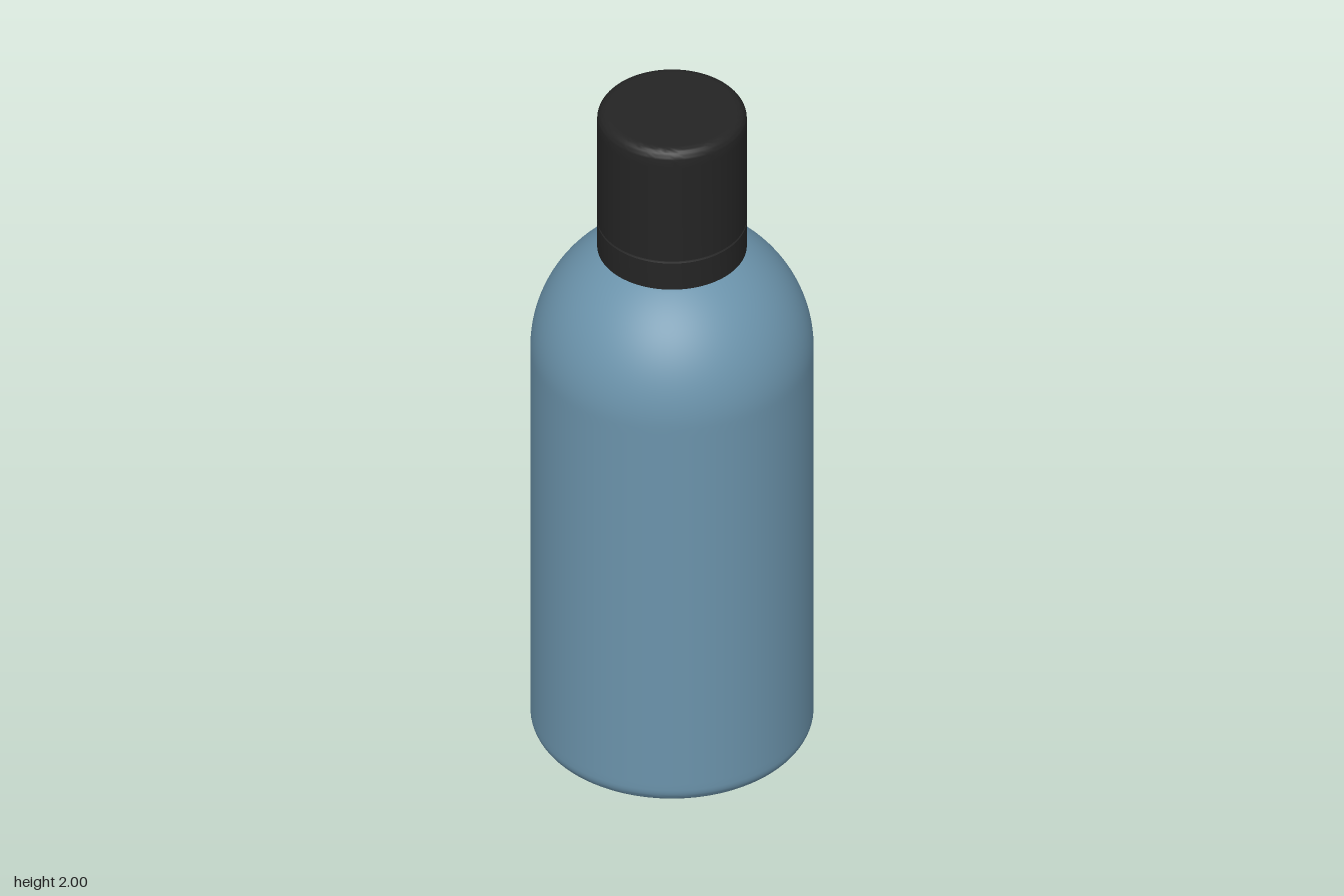
import * as THREE from 'three';
import { toCreasedNormals } from 'three/addons/utils/BufferGeometryUtils.js';

const SEGMENTS = 96;

// Points along a circular arc in the profile plane, angles in degrees
function arc(cx, cy, r, from, to, steps) {
  return Array.from({ length: steps + 1 }, (_, i) => {
    const a = THREE.MathUtils.degToRad(from + (to - from) * i / steps);
    return [cx + r * Math.cos(a), cy + r * Math.sin(a)];
  });
}

// Turned part: profile runs from the bottom centre upward
function turned(name, profile, material) {
  const points = profile.map(([x, y]) => new THREE.Vector2(Math.max(x, 0), y));
  const geometry = toCreasedNormals(new THREE.LatheGeometry(points, SEGMENTS), Math.PI / 6);
  const mesh = new THREE.Mesh(geometry, material);
  mesh.name = name;
  return mesh;
}

export function createModel() {
  const group = new THREE.Group();
  group.name = 'bottle';

  const blue = new THREE.MeshStandardMaterial({ color: 0x6b93ab });
  blue.name = 'dusty blue';
  const black = new THREE.MeshStandardMaterial({ color: 0x242424 });
  black.name = 'soft black';

  // Body: rounded base, straight wall, domed shoulder and hidden neck
  const R = 0.373;
  group.add(turned('body', [
    [0, 0], [0.3, 0],
    ...arc(R - 0.05, 0.05, 0.05, -90, 0, 10),
    [R, 0.07], [R, 1.2],
    ...arc(0, 1.225, R, 0, 61, 24),
    [0.165, 1.556], [0.165, 1.62], [0, 1.62],
  ], blue));

  // Collar: lower ring of the cap
  const C = 0.197;
  group.add(turned('capCollar', [
    [0.16, 1.555], [C, 1.555], [C, 1.64], [C - 0.006, 1.643], [0, 1.643],
  ], black));

  // Cap: separated from the collar by a fine groove
  group.add(turned('cap', [
    [0, 1.643], [C - 0.006, 1.643], [C, 1.647], [C, 1.95],
    ...arc(C - 0.03, 1.97, 0.03, 0, 90, 8),
    [0.15, 2], [0, 2],
  ], black));

  return group;
}
